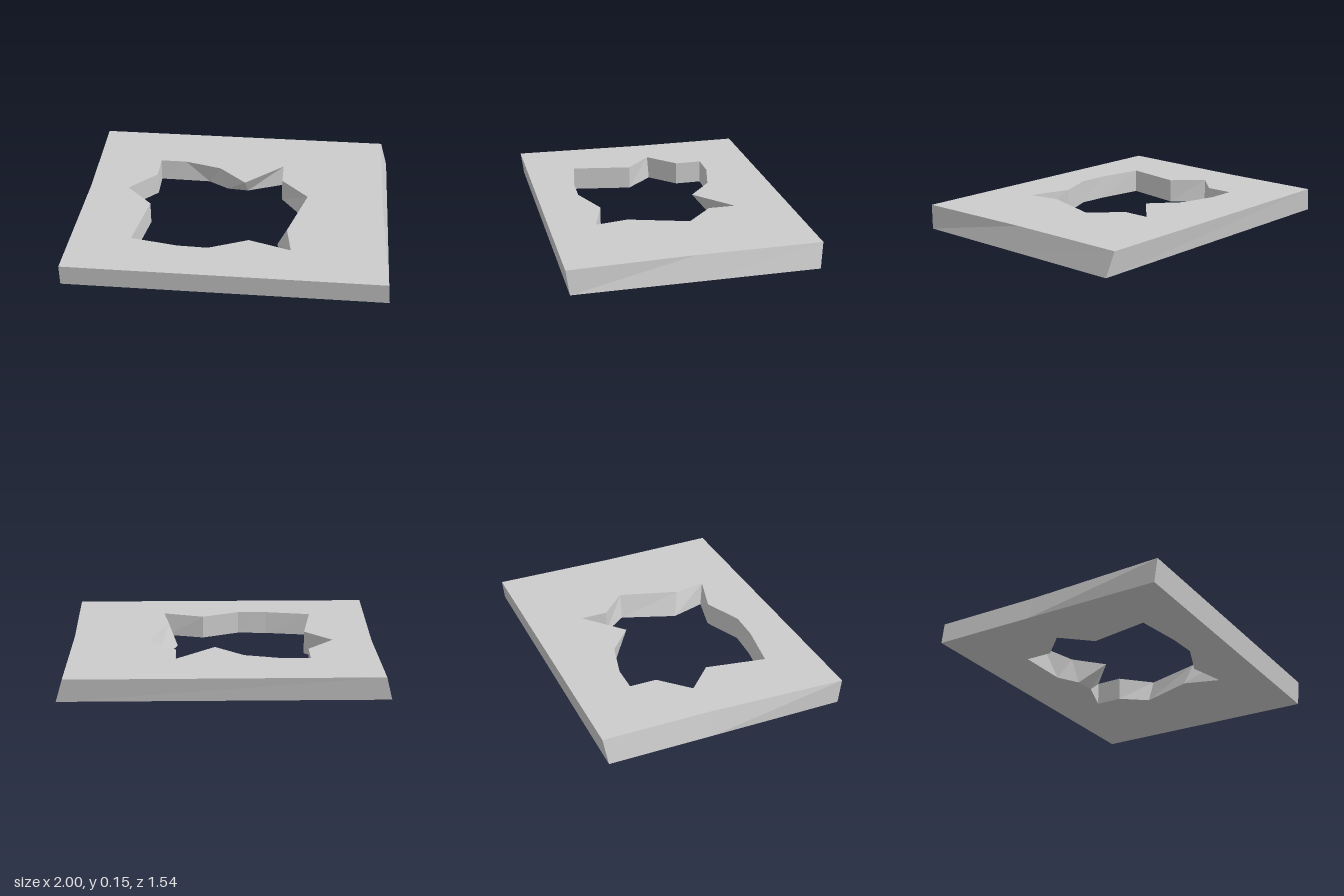
import * as THREE from 'three';

const HEIGHT = 0.15;

// Each row: top x, top z, bottom x, bottom z (clockwise seen from above)
const OUTER = [
  [-0.96, -0.77, -1, -0.75],
  [0.955, -0.775, 1, -0.75],
  [0.957, 0, 1, 0],
  [0.985, 0.77, 1, 0.75],
  [-0.995, 0.77, -1, 0.75],
  [-0.96, -0.1, -1, -0.1],
];
const HOLE = [
  [-0.54, -0.43, -0.54, -0.43],
  [-0.37, -0.43, -0.21, -0.425],
  [-0.13, -0.37, -0.075, -0.35],
  [0.05, -0.215, 0.06, -0.34],
  [0.295, -0.43, 0.295, -0.43],
  [0.295, -0.26, 0.295, -0.26],
  [0.47, -0.09, 0.42, -0.1],
  [0.355, 0.28, 0.295, 0.24],
  [0.39, 0.485, 0.365, 0.465],
  [0.125, 0.405, 0.125, 0.405],
  [-0.12, 0.505, -0.12, 0.505],
  [-0.31, 0.5, -0.31, 0.495],
  [-0.605, 0.45, -0.605, 0.45],
  [-0.54, 0.075, -0.54, 0.075],
  [-0.71, -0.09, -0.7, -0.1],
  [-0.54, -0.26, -0.54, -0.26],
];

const topPoint = (r) => new THREE.Vector3(r[0], HEIGHT, r[1]);
const bottomPoint = (r) => new THREE.Vector3(r[2], 0, r[3]);

// Sloping wall between the top and bottom of a closed outline
function addWall(tris, rows, inward) {
  rows.forEach((row, i) => {
    const next = rows[(i + 1) % rows.length];
    const [a, b] = inward ? [next, row] : [row, next];
    tris.push(topPoint(a), topPoint(b), bottomPoint(b));
    tris.push(topPoint(a), bottomPoint(b), bottomPoint(a));
  });
}

// Flat face with the opening cut out, turned up or down
function addFace(tris, place, up) {
  const flat = (rows) => rows.map(place).map((p) => new THREE.Vector2(p.x, p.z));
  const points = [...OUTER, ...HOLE].map(place);
  // The triangulator wants the outline and the hole in opposite directions
  const hole = flat(HOLE).reverse();
  const order = [...points.slice(0, OUTER.length), ...points.slice(OUTER.length).reverse()];
  for (const [i, j, k] of THREE.ShapeUtils.triangulateShape(flat(OUTER), [hole])) {
    const [a, b, c] = [order[i], order[j], order[k]];
    const normalY = (b.z - a.z) * (c.x - a.x) - (b.x - a.x) * (c.z - a.z);
    if (normalY > 0 === up) tris.push(a, b, c);
    else tris.push(a, c, b);
  }
}

function makeMesh(name, tris) {
  const geometry = new THREE.BufferGeometry().setFromPoints(tris);
  geometry.computeVertexNormals();
  const material = new THREE.MeshStandardMaterial({ color: 0xcccccc, flatShading: true });
  const mesh = new THREE.Mesh(geometry, material);
  mesh.name = name;
  return mesh;
}

export function createModel() {
  const group = new THREE.Group();
  group.name = 'slabWithOpening';

  // Top and bottom faces
  const faces = [];
  addFace(faces, topPoint, true);
  addFace(faces, bottomPoint, false);
  group.add(makeMesh('slabFaces', faces));

  // Outer rim
  const rim = [];
  addWall(rim, OUTER, false);
  group.add(makeMesh('outerRim', rim));

  // Walls of the jagged opening
  const opening = [];
  addWall(opening, HOLE, true);
  group.add(makeMesh('openingWalls', opening));

  return group;
}
